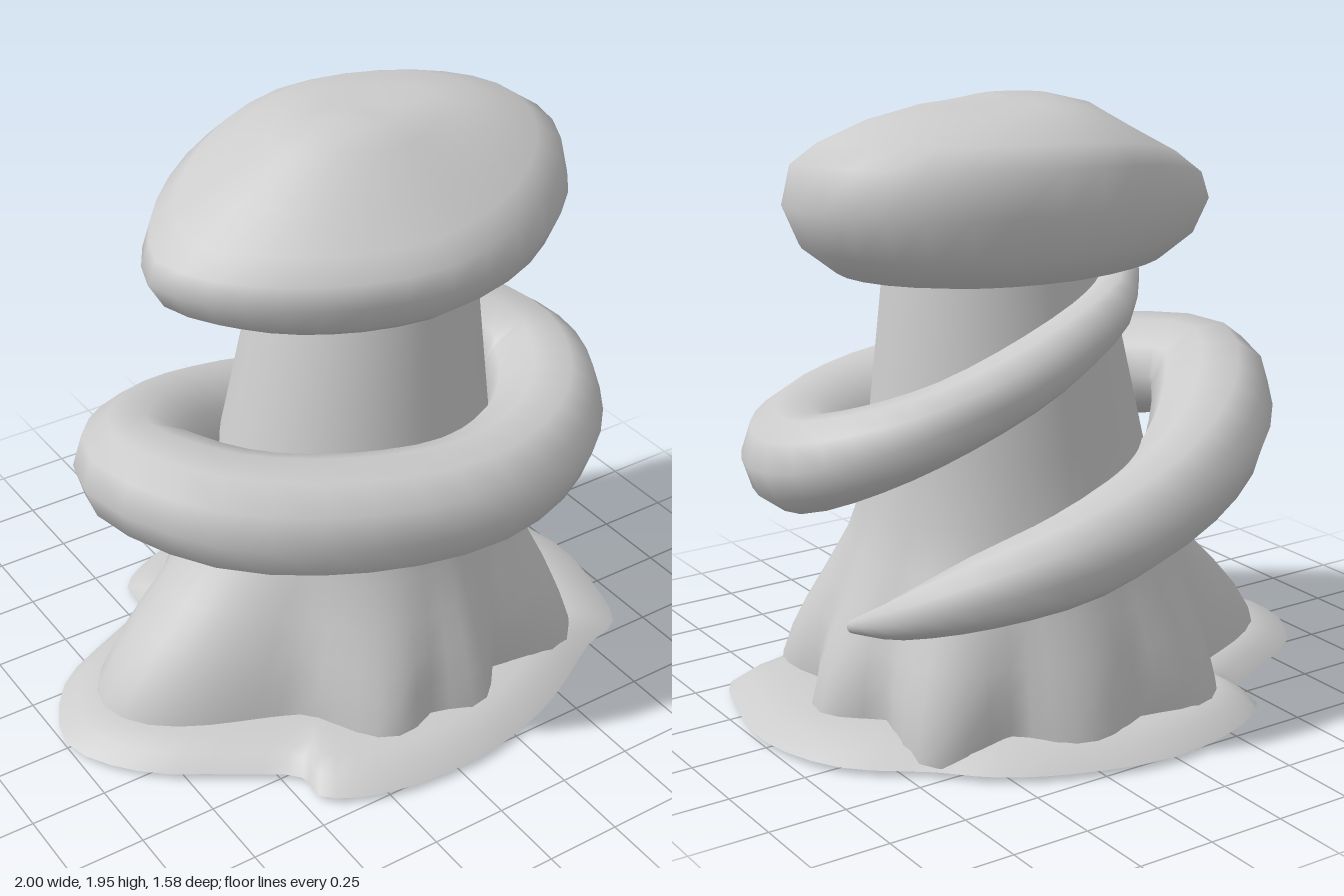
import * as THREE from 'three';
import { toCreasedNormals } from 'three/addons/utils/BufferGeometryUtils.js';

const TAU = Math.PI * 2;
const material = new THREE.MeshStandardMaterial({ color: 0xcccccc, side: THREE.DoubleSide });

// Skins a list of closed cross-sections (arrays of Vector3 of equal length).
function loft(name, rings, crease) {
  const n = rings[0].length, index = [];
  for (let i = 0; i < rings.length - 1; i++) {
    for (let j = 0; j < n; j++) {
      const k = (j + 1) % n;
      const a = i * n + j, b = i * n + k, c = a + n, d = b + n;
      index.push(a, c, b, b, c, d);
    }
  }
  let geometry = new THREE.BufferGeometry().setFromPoints(rings.flat());
  geometry.setIndex(index);
  geometry.computeVertexNormals();
  if (crease) geometry = toCreasedNormals(geometry, crease);
  const mesh = new THREE.Mesh(geometry, material);
  mesh.name = name;
  return mesh;
}

// One cross-section made by calling point(angle) around the circle.
const ring = (n, point) => Array.from({ length: n }, (_, j) => point((j / n) * TAU));

// Low lobed mound of earth; outline runs from +x towards +z.
function createMound() {
  const outline = [
    [1, 0], [0.96, 0.28], [0.88, 0.48], [0.73, 0.53], [0.5, 0.66], [0.3, 0.74], [0.05, 0.785],
    [-0.28, 0.75], [-0.45, 0.65], [-0.45, 0.55], [-0.62, 0.42], [-0.87, 0.24], [-1, 0],
    [-0.87, -0.27], [-0.62, -0.41], [-0.45, -0.5], [-0.44, -0.62], [-0.28, -0.73], [0.03, -0.79],
    [0.35, -0.71], [0.55, -0.6], [0.68, -0.47], [0.9, -0.28],
  ];
  const curve = new THREE.CatmullRomCurve3(outline.map(([x, z]) => new THREE.Vector3(x, 0, z)), true);
  const levels = [[0, 0], [0.84, 0], [0.9, 0.015], [1, 0.018], [0.93, 0.06], [0.84, 0.085], [0.7, 0.09], [0, 0.09]];
  const rings = levels.map(([s, y]) => ring(69, (a) => {
    const p = curve.getPoint(a / TAU);
    return new THREE.Vector3(p.x * s, y, p.z * s);
  }));
  return loft('mound', rings, 1);
}

// Tapering stalk that swells into roots, which merge as they rise.
function createTrunk() {
  // root direction (degrees), reach, half width (degrees)
  const roots = [[180, 0.36, 27], [108, 0.15, 14], [82, 0.14, 12], [42, 0.23, 17], [2, 0.17, 14],
    [-36, 0.17, 15], [-78, 0.11, 18], [-118, 0.14, 18]];
  const rings = [0.02, 0.1, 0.2, 0.3, 0.42, 0.55, 0.7, 0.9, 1.15, 1.5].map((y) => ring(64, (a) => {
    const flare = 1 - THREE.MathUtils.smoothstep(y, 0.04, 0.74);
    const spread = 1 + Math.min(y / 0.4, 1) * 0.9;
    let reach = 0;
    for (const [direction, length, width] of roots) {
      const d = ((a * 180 / Math.PI - direction + 900) % 360) - 180;
      const w = direction === 180 ? width : width * spread;
      reach = Math.max(reach, length * Math.exp(-((d / w) ** 2)));
    }
    const t = y / 1.42;
    const grow = reach * flare;
    return new THREE.Vector3(
      0.08 + 0.09 * t + Math.cos(a) * (0.59 - 0.24 * t + grow),
      y,
      -0.03 + Math.sin(a) * (0.545 - 0.2 * t + grow),
    );
  }));
  return loft('trunk', rings);
}

// Tentacle winding up around the trunk; each stop is x, y, z, radius.
function createCoil() {
  const stops = [
    [0.74, 0.37, -0.09, 0.02], [0.68, 0.445, -0.28, 0.065], [0.5, 0.545, -0.46, 0.11],
    [0.2, 0.64, -0.565, 0.14], [-0.2, 0.75, -0.5, 0.15], [-0.52, 0.86, -0.3, 0.165],
    [-0.7, 0.955, -0.01, 0.165], [-0.54, 0.935, 0.3, 0.175], [-0.2, 0.905, 0.5, 0.175],
    [0.2, 0.88, 0.56, 0.17], [0.55, 0.865, 0.43, 0.165], [0.77, 0.87, 0.2, 0.16],
    [0.845, 0.895, -0.03, 0.15], [0.74, 0.975, -0.24, 0.13], [0.54, 1.075, -0.38, 0.11],
    [0.25, 1.205, -0.43, 0.1], [0, 1.33, -0.39, 0.08], [-0.14, 1.42, -0.28, 0.05],
  ];
  const path = new THREE.CatmullRomCurve3(stops.map(([x, y, z]) => new THREE.Vector3(x, y, z)));
  const girth = new THREE.CatmullRomCurve3(stops.map((s, i) => new THREE.Vector3(s[3], i * 0.3, 0)));
  const up = new THREE.Vector3(0, 1, 0);
  const steps = 51, rings = [];
  for (let i = -1; i <= steps + 1; i++) {
    const t = THREE.MathUtils.clamp(i / steps, 0, 1);
    const r = i < 0 || i > steps ? 0 : girth.getPoint(t).x;
    const center = path.getPoint(t), tangent = path.getTangent(t);
    const side = tangent.clone().cross(up).normalize();
    const rise = side.clone().cross(tangent);
    // the half facing the trunk is deeper, so the coil hugs it
    rings.push(ring(10, (a) => center.clone()
      .addScaledVector(side, r * Math.cos(a) * (Math.cos(a) < 0 ? 1.4 : 1))
      .addScaledVector(rise, r * Math.sin(a))));
  }
  return loft('coil', rings);
}

// Lopsided cap, thin at the front left corner and thick at the back.
function createCap() {
  // spread, height on the thin side, height on the thick side
  const levels = [
    [0, 1.42, 1.42], [0.5, 1.385, 1.41], [0.78, 1.425, 1.45], [0.93, 1.485, 1.54], [1, 1.57, 1.67],
    [0.96, 1.64, 1.805], [0.84, 1.705, 1.865], [0.62, 1.795, 1.92], [0.4, 1.905, 1.935], [0.2, 1.945, 1.935], [0, 1.945, 1.945],
  ];
  const rings = levels.map(([s, low, high]) => ring(32, (a) => {
    const thick = THREE.MathUtils.smoothstep(0.5 + 0.5 * Math.cos(a + Math.PI / 4), 0, 1);
    const point = 1 - 0.14 * Math.max(0, -Math.cos(a)) * Math.abs(Math.sin(a));
    return new THREE.Vector3(
      0.13 + 0.73 * s * Math.cos(a) * point,
      low + (high - low) * thick,
      -0.04 + 0.525 * s * Math.sin(a) * point,
    );
  }));
  return loft('cap', rings);
}

export function createModel() {
  const model = new THREE.Group();
  model.name = 'coiledStump';
  model.add(createMound(), createTrunk(), createCoil(), createCap());
  return model;
}
